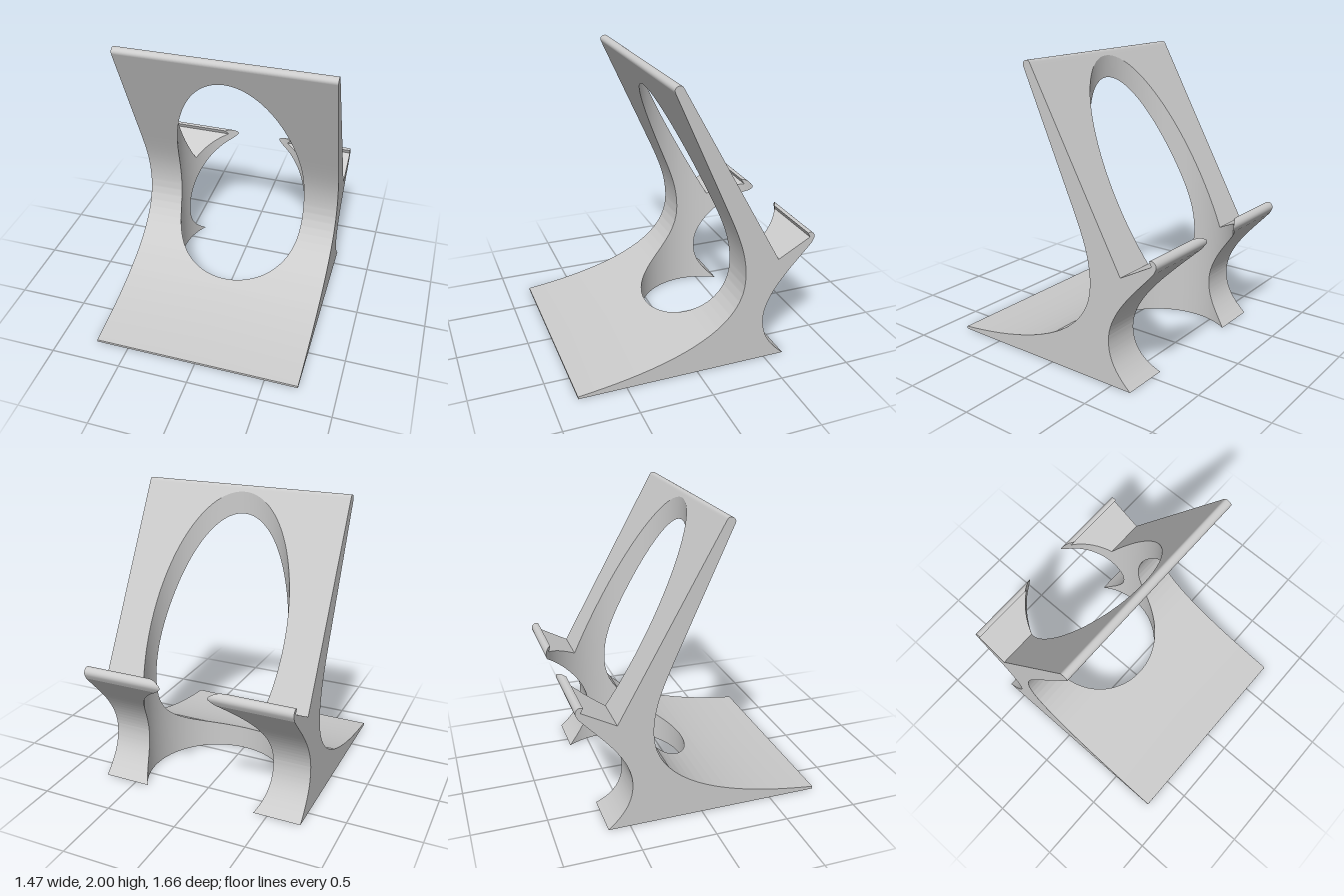
import * as THREE from 'three';
import { toCreasedNormals } from 'three/addons/utils/BufferGeometryUtils.js';

const HALF_WIDTH = 0.735;
const HOLE = { z: -0.375, r: 0.485 }; // vertical round opening

// Side profile; shape x is model z, shape y is model y
function sideProfile() {
  const v = (x, y) => new THREE.Vector2(x, y);
  const s = new THREE.Shape();
  s.moveTo(0.83, 0);
  s.lineTo(0.831, 0.018);
  // sweeping base and front of the backrest
  s.bezierCurveTo(0.25, 0.08, -0.334, 0.24, -0.334, 0.65);
  s.bezierCurveTo(-0.334, 0.82, -0.28, 0.95, -0.2, 1.13);
  s.lineTo(0.176, 1.96);
  // rounded top edge
  s.bezierCurveTo(0.186, 1.985, 0.165, 2.0, 0.145, 2.0);
  s.bezierCurveTo(0.132, 2.0, 0.127, 1.993, 0.12, 1.981);
  // rear rest face, shelf and lip
  s.lineTo(-0.57, 0.75);
  s.lineTo(-0.796, 0.875);
  s.lineTo(-0.78, 0.908);
  s.splineThru([v(-0.806, 0.911), v(-0.826, 0.893), v(-0.829, 0.868), v(-0.813, 0.833)]);
  // curved underside of the shelf, down to the heel
  s.bezierCurveTo(-0.7, 0.7, -0.478, 0.51, -0.478, 0.31);
  s.bezierCurveTo(-0.478, 0.19, -0.53, 0.1, -0.647, 0);
  return s.getPoints(20);
}

// Half width of the opening at a given depth
const holeHalf = (z) => Math.sqrt(Math.max(0, HOLE.r ** 2 - (z - HOLE.z) ** 2));

// Collects quads, each mirrored to the other side
class QuadList {
  constructor() { this.positions = []; }
  tri(a, b, c) {
    const [p, q, r] = [a, b, c].map((k) => new THREE.Vector3(...k));
    if (q.clone().sub(p).cross(r.clone().sub(p)).length() < 1e-10) return;
    this.positions.push(...a, ...b, ...c);
  }
  quad(a, b, c, d) {
    const m = ([x, y, z]) => [-x, y, z];
    this.tri(a, b, c);
    this.tri(a, c, d);
    this.tri(m(a), m(c), m(b));
    this.tri(m(a), m(d), m(c));
  }
  mesh(name, material) {
    let g = new THREE.BufferGeometry();
    g.setAttribute('position', new THREE.Float32BufferAttribute(this.positions, 3));
    // enlarged while smoothing so fine edges stay distinct
    g.scale(100, 100, 100);
    g = toCreasedNormals(g, 0.55);
    g.scale(0.01, 0.01, 0.01);
    const mesh = new THREE.Mesh(g, material);
    mesh.name = name;
    return mesh;
  }
}

export function createModel() {
  const profile = sideProfile();
  const edges = profile.map((a, i) => {
    const b = profile[(i + 1) % profile.length];
    return a.x < b.x ? [a, b] : [b, a];
  });
  const yAt = ([a, b], z) => a.y + ((b.y - a.y) * (z - a.x)) / (b.x - a.x);

  // Depth stations: every profile point plus even steps round the opening
  let stations = profile.map((p) => p.x);
  const zMin = Math.min(...stations);
  for (let i = 0; i <= 72; i++) {
    const z = HOLE.z + HOLE.r * Math.cos((i / 72) * Math.PI);
    if (z > zMin) stations.push(z);
  }
  stations.sort((a, b) => a - b);
  stations = stations.filter((z, i) => i === 0 || z - stations[i - 1] > 1e-9);

  const shell = new QuadList();
  const sides = new QuadList();
  const opening = new QuadList();
  const W = HALF_WIDTH;

  for (let i = 0; i < stations.length - 1; i++) {
    const z0 = stations[i], z1 = stations[i + 1], mid = (z0 + z1) / 2;
    const h0 = holeHalf(z0), h1 = holeHalf(z1);
    const crossing = edges
      .filter(([a, b]) => a.x < mid && b.x > mid)
      .sort((e, f) => yAt(e, mid) - yAt(f, mid));
    // each pair of crossing edges bounds one solid piece of this slice
    for (let k = 0; k + 1 < crossing.length; k += 2) {
      const l0 = yAt(crossing[k], z0), l1 = yAt(crossing[k], z1);
      const u0 = yAt(crossing[k + 1], z0), u1 = yAt(crossing[k + 1], z1);
      shell.quad([h0, u0, z0], [h1, u1, z1], [W, u1, z1], [W, u0, z0]);
      shell.quad([W, l0, z0], [W, l1, z1], [h1, l1, z1], [h0, l0, z0]);
      sides.quad([W, l1, z1], [W, l0, z0], [W, u0, z0], [W, u1, z1]);
      if (h0 + h1 > 1e-6) {
        opening.quad([h1, u1, z1], [h0, u0, z0], [h0, l0, z0], [h1, l1, z1]);
      }
    }
  }

  const material = new THREE.MeshStandardMaterial({ color: 0xcccccc });
  const group = new THREE.Group();
  group.name = 'deviceStand';
  group.add(
    shell.mesh('curvedShell', material),
    sides.mesh('sideFaces', material),
    opening.mesh('roundOpeningWall', material),
  );
  return group;
}
